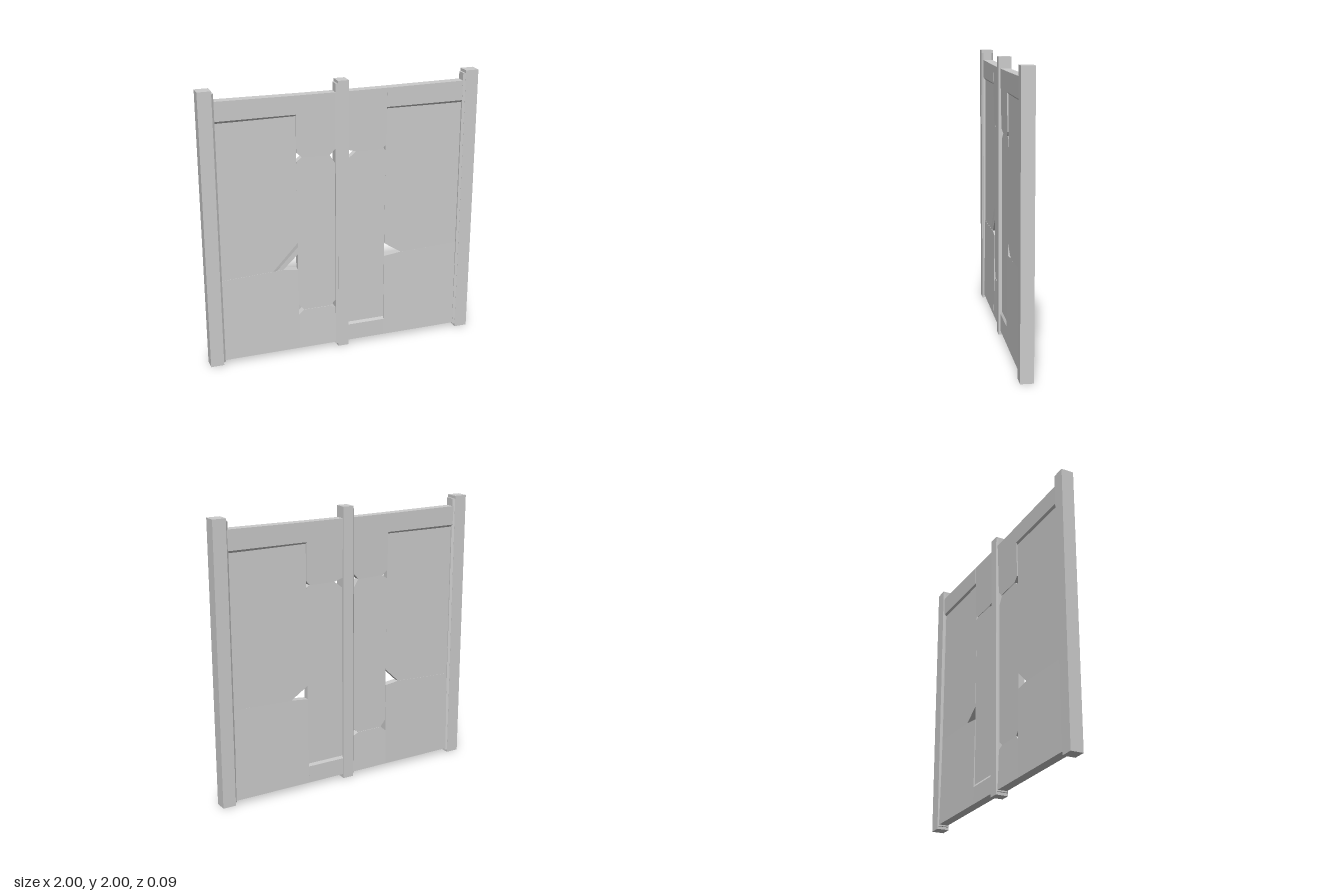
import * as THREE from 'three';

const material = new THREE.MeshStandardMaterial({ color: 0xcccccc, flatShading: true });
const MID_Z = -0.003; // middle plane of the boards

export function createModel() {
  const group = new THREE.Group();

  const add = (name, geometry) => {
    const mesh = new THREE.Mesh(geometry, material);
    mesh.name = name;
    group.add(mesh);
    return mesh;
  };

  // Flat board cut to an outline; its half thickness runs from hBottom to hTop
  const board = (name, points, hBottom, hTop = hBottom) => {
    const shape = new THREE.Shape(points.map(([x, y]) => new THREE.Vector2(x, y)));
    const g = new THREE.ExtrudeGeometry(shape, { depth: 1, bevelEnabled: false });
    const ys = points.map(p => p[1]);
    const low = Math.min(...ys), high = Math.max(...ys);
    const pos = g.attributes.position;
    for (let i = 0; i < pos.count; i++) {
      const h = THREE.MathUtils.mapLinear(pos.getY(i), low, high, hBottom, hTop);
      pos.setZ(i, MID_Z + (pos.getZ(i) > 0.5 ? h : -h));
    }
    g.computeVertexNormals();
    return add(name, g);
  };
  const rect = (x0, x1, y0, y1) => [[x0, y0], [x1, y0], [x1, y1], [x0, y1]];

  // Posts
  for (const [name, x0, x1] of [['rightPost', -1, -0.905], ['middlePost', -0.042, 0.036], ['leftPost', 0.905, 1]]) {
    const post = add(name, new THREE.BoxGeometry(x1 - x0, 2, 0.09));
    post.position.set((x0 + x1) / 2, 1, 0);
  }

  // Sloped edges where the posts meet the boards
  for (const [name, x, tip] of [['rightPostEdge', -0.905, -0.89], ['middlePostEdge', -0.042, -0.055], ['leftPostEdge', 0.905, 0.89]]) {
    const pts = [[x, -0.044], [tip, -0.032], [tip, 0.032], [x, 0.044]].map(([a, b]) => new THREE.Vector2(a, -b));
    const g = new THREE.ExtrudeGeometry(new THREE.Shape(pts), { depth: 1.96, bevelEnabled: false });
    g.rotateX(-Math.PI / 2);
    add(name, g).position.y = 0.02;
  }

  // Top rail, sagging a little, with a bevelled lower edge
  board('topRailRight', [[-0.9, 1.79], [-0.335, 1.79], [-0.335, 1.921], [-0.9, 1.926]], 0.033, 0.035);
  board('topRailLeft', [[0.32, 1.785], [0.9, 1.785], [0.9, 1.926], [0.32, 1.921]], 0.033, 0.035);
  board('railBevelRight', [[-0.9, 1.773], [-0.335, 1.778], [-0.335, 1.79], [-0.9, 1.79]], 0.019, 0.033);
  board('railBevelLeft', [[0.32, 1.773], [0.9, 1.768], [0.9, 1.785], [0.32, 1.785]], 0.019, 0.033);

  // Outer boards with broken corners
  board('upperBoardRight', [[-0.9, 0.635], [-0.52, 0.66], [-0.445, 0.665], [-0.335, 0.77], [-0.335, 1.79], [-0.9, 1.79]], 0.024, 0.02);
  board('lowerBoardRight', [[-0.9, 0.03], [-0.335, 0.03], [-0.335, 0.652], [-0.445, 0.666], [-0.9, 0.645]], 0.034, 0.026);
  board('upperBoardLeft', [[0.45, 0.68], [0.9, 0.695], [0.9, 1.785], [0.32, 1.785], [0.32, 0.765]], 0.025, 0.02);
  board('lowerBoardLeft', [[0.32, 0.03], [0.9, 0.03], [0.9, 0.695], [0.45, 0.68], [0.32, 0.665]], 0.034, 0.025);

  // Splintered face above the right break
  const splinter = new THREE.BufferGeometry();
  splinter.setAttribute('position', new THREE.Float32BufferAttribute([
    -0.52, 0.663, 0.0225, -0.445, 0.666, 0.012, -0.335, 0.77, 0.012,
    -0.52, 0.663, 0.0225, -0.335, 0.77, 0.012, -0.335, 0.86, 0.0225], 3));
  splinter.computeVertexNormals();
  add('splinter', splinter).position.z = 0.002;

  // Inner boards right of the middle post, with chipped joints
  board('innerTopRight', [[-0.295, 1.485], [-0.095, 1.48], [-0.045, 1.53], [-0.045, 1.92], [-0.335, 1.921], [-0.335, 1.52]], 0.026, 0.034);
  board('innerMiddleRight', [[-0.295, 0.33], [-0.1, 0.33], [-0.045, 0.375], [-0.045, 1.4], [-0.095, 1.48], [-0.295, 1.485], [-0.335, 1.455], [-0.335, 0.38]], 0.022);
  board('innerBottomRight', [[-0.335, 0.03], [-0.045, 0.03], [-0.045, 0.305], [-0.1, 0.33], [-0.295, 0.33], [-0.335, 0.295]], 0.034, 0.026);

  // Inner boards left of the middle post
  board('innerTopLeft', [[0.1, 1.485], [0.295, 1.485], [0.32, 1.515], [0.32, 1.921], [0.035, 1.92], [0.035, 1.505]], 0.026, 0.034);
  board('innerMiddleLeft', [[0.035, 0.15], [0.32, 0.15], [0.32, 1.47], [0.295, 1.485], [0.1, 1.485], [0.035, 1.435]], 0.022);
  board('ledge', rect(0.035, 0.32, 0.155, 0.175), 0.033, 0.021);
  board('bottomRail', rect(0.035, 0.32, 0.03, 0.155), 0.034, 0.033);

  return group;
}
